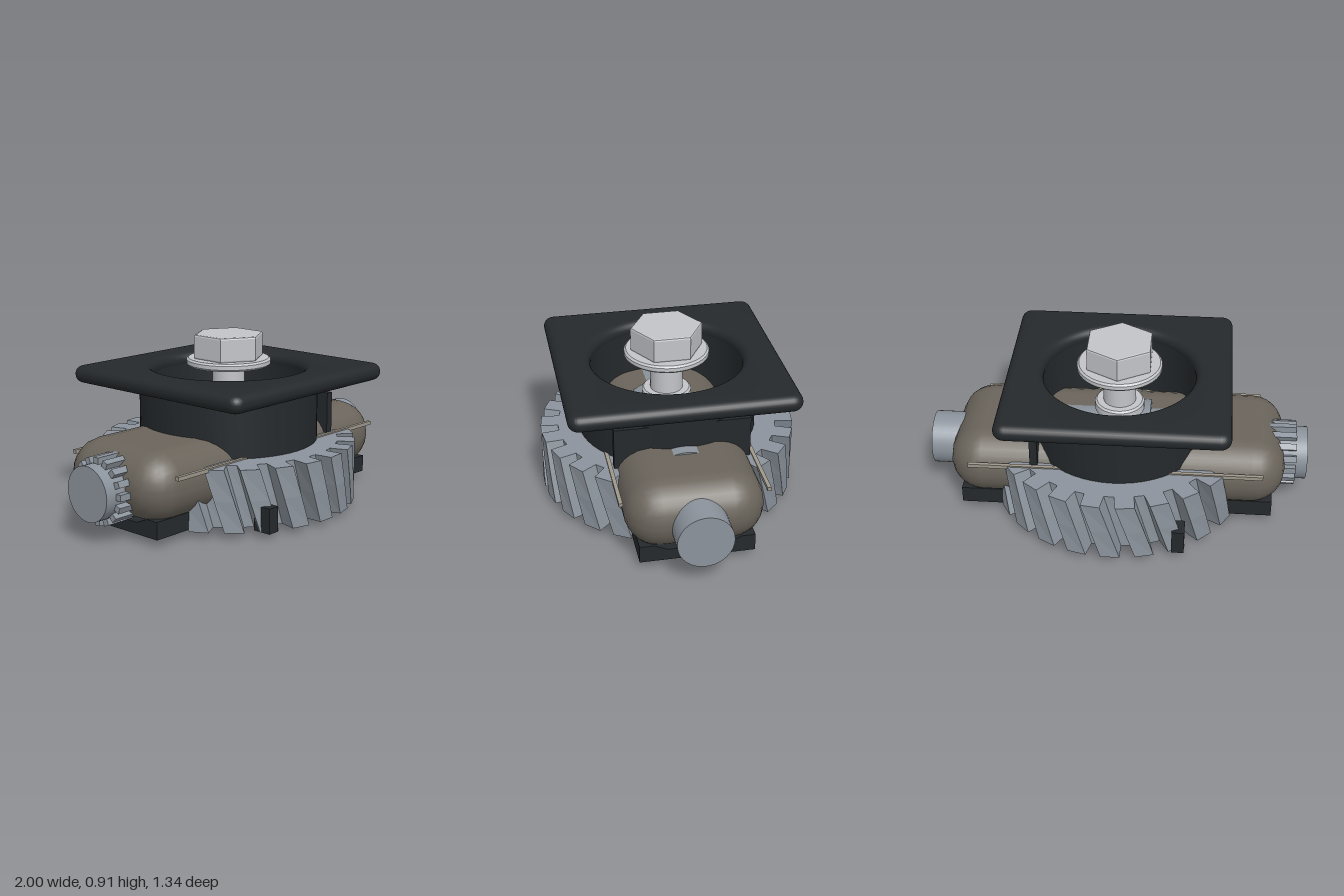
import * as THREE from 'three';
import { toCreasedNormals } from 'three/addons/utils/BufferGeometryUtils.js';
import { RoundedBoxGeometry } from 'three/addons/geometries/RoundedBoxGeometry.js';

const mat = (color) => new THREE.MeshStandardMaterial({ color });
const black = mat(0x25292c), brown = mat(0x6a645b), steel = mat(0x8b939c);
const bright = mat(0xc2c4c8), tan = mat(0x9d978b);

// Toothed outline centred on the origin
function gearShape(teeth, root, tip, rootFill, tipFill) {
  const pts = [];
  const step = (Math.PI * 2) / teeth;
  for (let i = 0; i < teeth; i++) {
    for (const [r, k] of [[root, -rootFill], [tip, -tipFill], [tip, tipFill], [root, rootFill]]) {
      const a = (i + k / 2) * step;
      pts.push(new THREE.Vector2(r * Math.cos(a), r * Math.sin(a)));
    }
  }
  return new THREE.Shape(pts);
}

// Flat-faced gear standing on y = 0, twisted by an angle over its height
function gearGeometry(shape, height, twist) {
  const g = new THREE.ExtrudeGeometry(shape, { depth: height, bevelEnabled: false, steps: 2 });
  g.rotateX(-Math.PI / 2);
  const p = g.attributes.position;
  const v = new THREE.Vector3();
  const up = new THREE.Vector3(0, 1, 0);
  for (let i = 0; i < p.count; i++) {
    v.fromBufferAttribute(p, i);
    v.applyAxisAngle(up, (twist * v.y) / height);
    p.setXYZ(i, v.x, v.y, v.z);
  }
  g.computeVertexNormals();
  return g;
}

export function createModel() {
  const model = new THREE.Group();
  const add = (name, geometry, material, x = 0, y = 0, z = 0) => {
    const mesh = new THREE.Mesh(geometry, material);
    mesh.name = name;
    mesh.position.set(x, y, z);
    model.add(mesh);
    return mesh;
  };
  const box = (name, w, h, d, material, x, y, z) =>
    add(name, new THREE.BoxGeometry(w, h, d), material, x, y, z);
  const disc = (name, r, y0, y1, material, sides = 40) =>
    add(name, new THREE.CylinderGeometry(r, r, y1 - y0, sides), material, 0, (y0 + y1) / 2, 0);
  const axle = (name, r, x0, x1, y) => {
    const mesh = add(name, new THREE.CylinderGeometry(r, r, x1 - x0, 40), steel, (x0 + x1) / 2, y, 0);
    mesh.rotation.z = Math.PI / 2;
  };

  // Rounded housing
  add('housing', new RoundedBoxGeometry(1.76, 0.36, 0.7, 3, 0.175), brown, 0, 0.27, 0);

  // Cradle under the housing, raised at its long edges
  const cradle = new THREE.Shape([
    [-0.29, 0.04], [0.29, 0.04], [0.29, 0.13], [0.22, 0.13],
    [0.15, 0.1], [-0.15, 0.1], [-0.22, 0.13], [-0.29, 0.13],
  ].map(([a, b]) => new THREE.Vector2(a, b)));
  const cradleGeometry = new THREE.ExtrudeGeometry(cradle, { depth: 1.64, bevelEnabled: false });
  cradleGeometry.translate(0, 0, -0.82).rotateY(Math.PI / 2);
  add('cradle', cradleGeometry, black);

  // Cross shaft with its inner drum and disc
  axle('shaft', 0.14, -1, 1, 0.25);
  axle('shaftDrum', 0.21, -0.45, 0.53, 0.25);
  axle('shaftDisc', 0.25, -0.165, -0.075, 0.25);

  // Small straight-toothed pinion
  const pinion = add('pinion', gearGeometry(gearShape(16, 0.135, 0.172, 0.6, 0.5), 0.16, 0), steel, -0.78, 0.25, 0);
  pinion.rotation.z = Math.PI / 2;

  // Large helical gear and its dark underside
  add('helicalGear', gearGeometry(gearShape(24, 0.58, 0.672, 0.66, 0.56), 0.32, -0.15), steel, 0, 0.03, 0);
  disc('undersidePlate', 0.52, 0.026, 0.06, black);
  disc('undersideHub', 0.2, 0.022, 0.06, steel);
  disc('undersideHubCap', 0.12, 0.018, 0.06, black);
  disc('gearHub', 0.26, 0.3, 0.44, steel);

  // Hollow collar
  const collar = [[0.4, 0.34], [0.47, 0.34], [0.47, 0.69], [0.4, 0.69], [0.4, 0.34]]
    .map(([r, y]) => new THREE.Vector2(r, y));
  add('collar', toCreasedNormals(new THREE.LatheGeometry(collar, 56), 0.6), black);

  // Square flange with rounded rim and round opening
  const s = 0.54, c = 0.015;
  const flange = new THREE.Shape();
  flange.moveTo(-s + c, -s);
  flange.lineTo(s - c, -s);
  flange.quadraticCurveTo(s, -s, s, -s + c);
  flange.lineTo(s, s - c);
  flange.quadraticCurveTo(s, s, s - c, s);
  flange.lineTo(-s + c, s);
  flange.quadraticCurveTo(-s, s, -s, s - c);
  flange.lineTo(-s, -s + c);
  flange.quadraticCurveTo(-s, -s, -s + c, -s);
  flange.holes.push(new THREE.Path().absarc(0, 0, 0.443, 0, Math.PI * 2, true));
  const flangeGeometry = new THREE.ExtrudeGeometry(flange, {
    depth: 0.004, bevelSize: 0.045, bevelThickness: 0.043, bevelSegments: 6, curveSegments: 28,
  });
  flangeGeometry.rotateX(-Math.PI / 2);
  add('flange', toCreasedNormals(flangeGeometry, 0.7), black, 0, 0.693, 0);

  // Mirrored side details
  for (const side of [-1, 1]) {
    box('sideRod', 1.52, 0.02, 0.02, tan, 0, 0.347, side * 0.368);
    box('collarRib', 0.04, 0.27, 0.2, black, 0.42, 0.435, side * 0.25);
    box('gearTab', 0.065, 0.13, 0.1, black, -0.34, 0.095, side * 0.56);
  }

  // Bolt: shank, washers and bevelled hexagon head
  disc('boltShank', 0.085, 0.4, 0.76, bright);
  const washer = (name, r, y0, y1) => {
    const b = 0.01;
    const profile = [[0, y0], [r - b, y0], [r, y0 + b], [r, y1 - b], [r - b, y1], [0, y1]]
      .map(([a, y]) => new THREE.Vector2(a, y));
    add(name, toCreasedNormals(new THREE.LatheGeometry(profile, 40), 0.5), bright);
  };
  washer('lowerWasher', 0.13, 0.49, 0.55);
  washer('boltWasher', 0.222, 0.74, 0.78);
  const hex = new THREE.Shape();
  for (let i = 0; i < 6; i++) {
    const a = Math.PI / 6 + (i * Math.PI) / 3;
    hex[i ? 'lineTo' : 'moveTo'](0.177 * Math.cos(a), 0.177 * Math.sin(a));
  }
  const head = new THREE.ExtrudeGeometry(hex, {
    depth: 0.11, bevelSize: 0.01, bevelThickness: 0.01, bevelSegments: 2,
  });
  head.rotateX(-Math.PI / 2);
  add('boltHead', head, bright, 0, 0.787, 0);

  return model;
}
